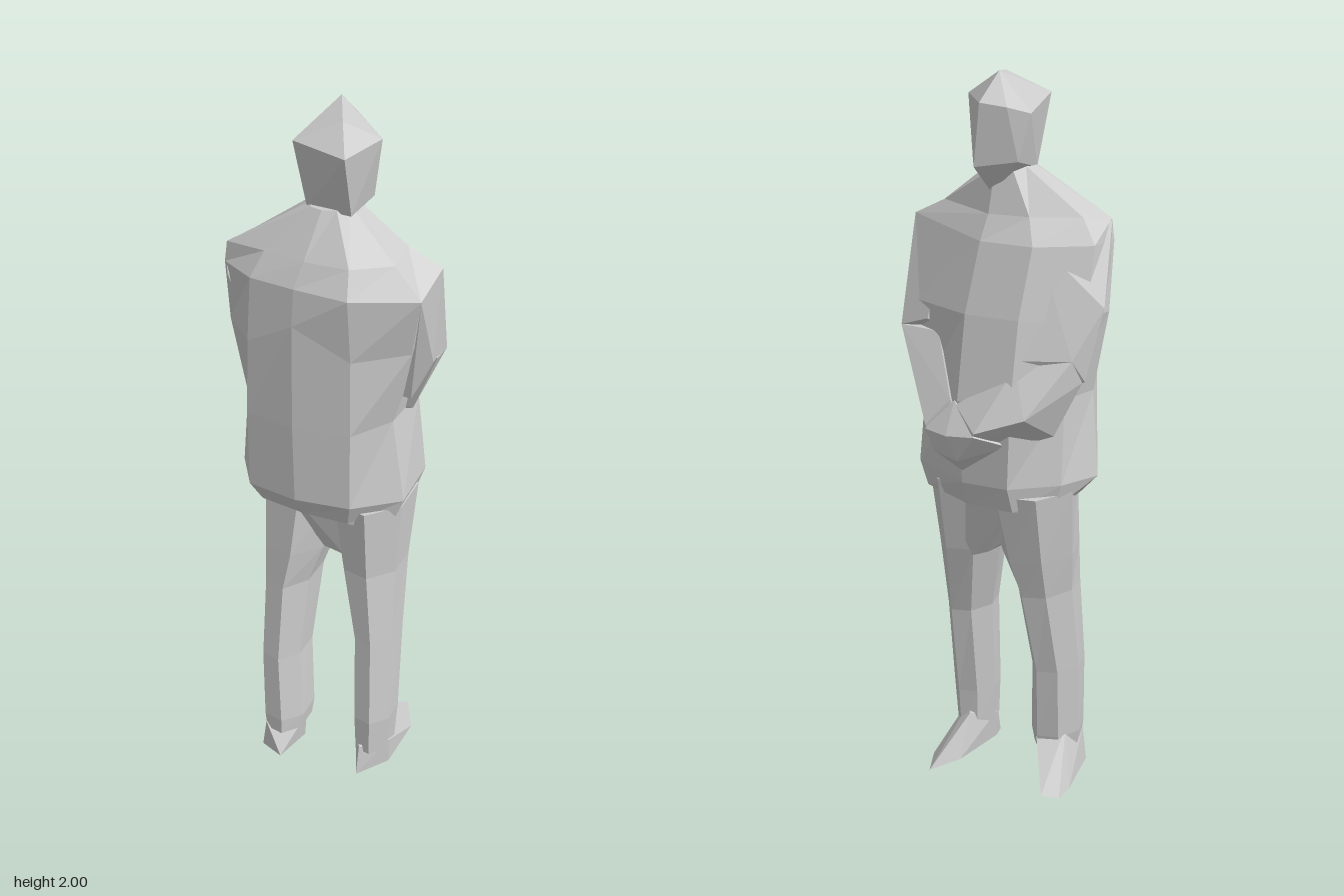
import * as THREE from 'three';
import { ConvexGeometry } from 'three/addons/geometries/ConvexGeometry.js';

const material = new THREE.MeshStandardMaterial({ color: 0xcccccc, flatShading: true });

function part(name, geometry) {
  const mesh = new THREE.Mesh(geometry, material);
  mesh.name = name;
  return mesh;
}

// Faceted solid around a few corner points
const hull = (name, points) =>
  part(name, new ConvexGeometry(points.map((p) => new THREE.Vector3(...p))));

// Skin over closed rings stacked upward; rings run front (-z), +x, back (+z), -x
function loft(name, rings) {
  const pos = [];
  const tri = (...pts) => pts.forEach((p) => pos.push(p.x, p.y, p.z));
  const n = rings[0].length;
  const middle = (ring) =>
    ring.reduce((sum, p) => sum.add(p), new THREE.Vector3()).divideScalar(n);
  const bottom = rings[0], top = rings[rings.length - 1];
  const low = middle(bottom), high = middle(top);
  for (let j = 0; j < n; j++) {
    const k = (j + 1) % n;
    for (let i = 0; i < rings.length - 1; i++) {
      const a = rings[i], b = rings[i + 1];
      tri(a[j], b[j], a[k]);
      tri(a[k], b[j], b[k]);
    }
    tri(low, bottom[j], bottom[k]);
    tri(high, top[k], top[j]);
  }
  const geometry = new THREE.BufferGeometry();
  geometry.setAttribute('position', new THREE.Float32BufferAttribute(pos, 3));
  geometry.computeVertexNormals();
  return part(name, geometry);
}

// Ring from x, z pairs; a third number shifts that corner up or down
const ring = (y, ...corners) => corners.map(([x, z, dy = 0]) => new THREE.Vector3(x, y + dy, z));

// Seven-sided ring filling a box: height, x range, z range
function boxRing([y, x0, x1, z0, z1]) {
  const points = [];
  for (let i = 0; i < 7; i++) {
    const a = (i / 7) * Math.PI * 2;
    points.push(new THREE.Vector3(
      (x0 + x1) / 2 + Math.sin(a) * (x1 - x0) * 0.51, y,
      (z0 + z1) / 2 - Math.cos(a) * (z1 - z0) * 0.51));
  }
  return points;
}

export function createModel() {
  const figure = new THREE.Group();
  figure.name = 'standingFigure';

  // Jacket, from the uneven hem to the collar
  figure.add(loft('jacket', [
    ring(0.88, [0, -0.14], [0.18, -0.12], [0.19, 0.04, -0.055], [0.12, 0.12], [0, 0.15], [-0.13, 0.16], [-0.18, 0.1, 0.02], [-0.18, 0], [-0.12, -0.1]),
    ring(0.95, [0, -0.165], [0.2, -0.13], [0.235, 0.03], [0.14, 0.14], [0, 0.19], [-0.14, 0.2], [-0.22, 0.12], [-0.2, 0], [-0.12, -0.12]),
    ring(1.18, [0, -0.18], [0.17, -0.13], [0.19, 0.02], [0.14, 0.14], [0, 0.195], [-0.14, 0.2], [-0.19, 0.13], [-0.19, 0.02], [-0.14, -0.13]),
    ring(1.4, [0.01, -0.14], [0.2, -0.13], [0.24, 0.02], [0.14, 0.14], [0, 0.19, 0.08], [-0.13, 0.2], [-0.23, 0.14], [-0.24, 0.04], [-0.13, -0.09]),
    ring(1.58, [0.01, -0.085], [0.265, -0.07, 0.03], [0.275, 0.04, -0.01], [0.14, 0.155], [0, 0.18], [-0.12, 0.195], [-0.22, 0.165], [-0.23, 0.08], [-0.13, -0.04]),
    ring(1.645, [0.01, -0.055], [0.18, -0.045, 0.01], [0.2, 0.04], [0.12, 0.12], [0.01, 0.15], [-0.1, 0.16], [-0.215, 0.16, -0.01], [-0.19, 0.08], [-0.09, -0.01]),
    ring(1.76, [0.01, -0.03], [0.05, -0.01], [0.06, 0.03], [0.05, 0.07], [0.02, 0.09], [-0.01, 0.09], [-0.03, 0.07], [-0.04, 0.03], [-0.03, -0.01]),
  ]));

  // Head: crown, brow ring, jaw
  figure.add(hull('head', [
    [-0.01, 2, -0.035], [0.06, 1.985, 0.06],
    [-0.01, 1.93, -0.105], [0.12, 1.93, -0.015], [0.1, 1.92, 0.11], [-0.04, 1.935, 0.12], [-0.085, 1.9, 0], [-0.065, 1.92, -0.065],
    [0.01, 1.77, -0.105], [0.09, 1.77, -0.03], [0.085, 1.75, 0.06], [-0.03, 1.75, 0.08], [-0.06, 1.78, -0.02], [0.02, 1.69, -0.03],
  ]));

  // Arms, bent so the hands meet in front
  const arms = new THREE.Group();
  arms.name = 'arms';
  arms.add(
    hull('leftUpperArm', [
      [0.265, 1.61, -0.07], [0.275, 1.57, 0.04], [0.16, 1.55, 0.08], [0.15, 1.55, -0.08],
      [0.26, 1.35, -0.05], [0.235, 1.33, -0.155], [0.15, 1.36, -0.14], [0.21, 1.23, -0.03], [0.15, 1.25, 0],
    ]),
    hull('leftForearm', [
      [0.26, 1.35, -0.07], [0.235, 1.33, -0.155], [0.12, 1.33, -0.13], [0.205, 1.19, -0.05], [0.12, 1.15, -0.06],
      [0.07, 1.11, -0.228], [0.02, 1.18, -0.185], [0.05, 1.04, -0.2], [0.02, 1.06, -0.12],
    ]),
    hull('rightUpperArm', [
      [-0.22, 1.63, 0.155], [-0.13, 1.59, -0.02], [-0.21, 1.55, 0.17], [-0.275, 1.43, 0.07],
      [-0.25, 1.24, 0.03], [-0.24, 1.3, -0.01], [-0.14, 1.3, -0.1], [-0.17, 1.2, 0.07],
    ]),
    hull('rightForearm', [
      [-0.25, 1.24, 0.02], [-0.24, 1.3, -0.01], [-0.13, 1.28, -0.1], [-0.19, 1.16, -0.13], [-0.19, 1.09, -0.02],
      [-0.09, 1.12, -0.21], [0, 1.17, -0.185], [-0.02, 1.04, -0.2], [-0.05, 1.03, -0.12],
    ]),
    hull('claspedHands', [
      [-0.09, 1.11, -0.21], [-0.01, 1.1, -0.232], [0.07, 1.1, -0.23], [0.05, 1.04, -0.215],
      [-0.03, 1.03, -0.21], [0.01, 1.18, -0.18], [0, 0.98, -0.16], [0.1, 1.08, -0.12], [-0.12, 1.07, -0.12],
    ]));
  figure.add(arms);

  // Trouser seat closing the gap between the legs
  figure.add(hull('trouserSeat', [
    [-0.18, 0.9, 0.1], [-0.12, 0.9, -0.09], [0.18, 0.9, -0.11], [0.19, 0.9, 0.05], [0, 0.88, 0.14], [-0.13, 0.88, 0.14],
    [0, 0.72, -0.07], [0.06, 0.69, -0.07], [0, 0.73, 0.08], [0.06, 0.7, 0.05],
  ]));

  // Trouser legs, each as height, x range, z range
  figure.add(
    loft('leftLeg', [
      [0.08, 0.135, 0.235, 0, 0.14], [0.2, 0.125, 0.24, -0.01, 0.14], [0.48, 0.11, 0.225, -0.05, 0.12],
      [0.7, 0.05, 0.215, -0.1, 0.11], [0.92, 0.01, 0.225, -0.14, 0.12],
    ].map(boxRing)),
    loft('rightLeg', [
      [0.08, -0.13, -0.015, 0.06, 0.22], [0.13, -0.14, -0.01, 0.05, 0.22], [0.35, -0.15, -0.03, 0.03, 0.205],
      [0.6, -0.155, -0.025, -0.03, 0.18], [0.72, -0.175, 0.01, -0.07, 0.17], [0.92, -0.2, 0.04, -0.12, 0.15],
    ].map(boxRing)));

  // Shoes with pointed heels, splayed apart
  figure.add(
    hull('leftShoe', [
      [0.18, 0, 0.157], [0.15, 0.01, 0.11], [0.235, 0.015, 0.07], [0.21, 0.01, -0.09], [0.145, 0.015, -0.168],
      [0.13, 0.01, -0.06], [0.2, 0.13, 0.05], [0.15, 0.13, 0], [0.235, 0.1, 0.07], [0.14, 0.1, 0.1], [0.18, 0.1, 0.143],
    ]),
    hull('rightShoe', [
      [-0.04, 0.005, 0.23], [-0.115, 0, 0.215], [-0.22, 0.015, -0.015], [-0.18, 0.02, -0.045],
      [-0.03, 0.01, 0.12], [-0.2, 0.01, 0.05], [-0.12, 0.15, 0.12], [-0.06, 0.13, 0.06], [-0.02, 0.1, 0.13], [-0.1, 0.1, 0.215],
    ]));
  return figure;
}
